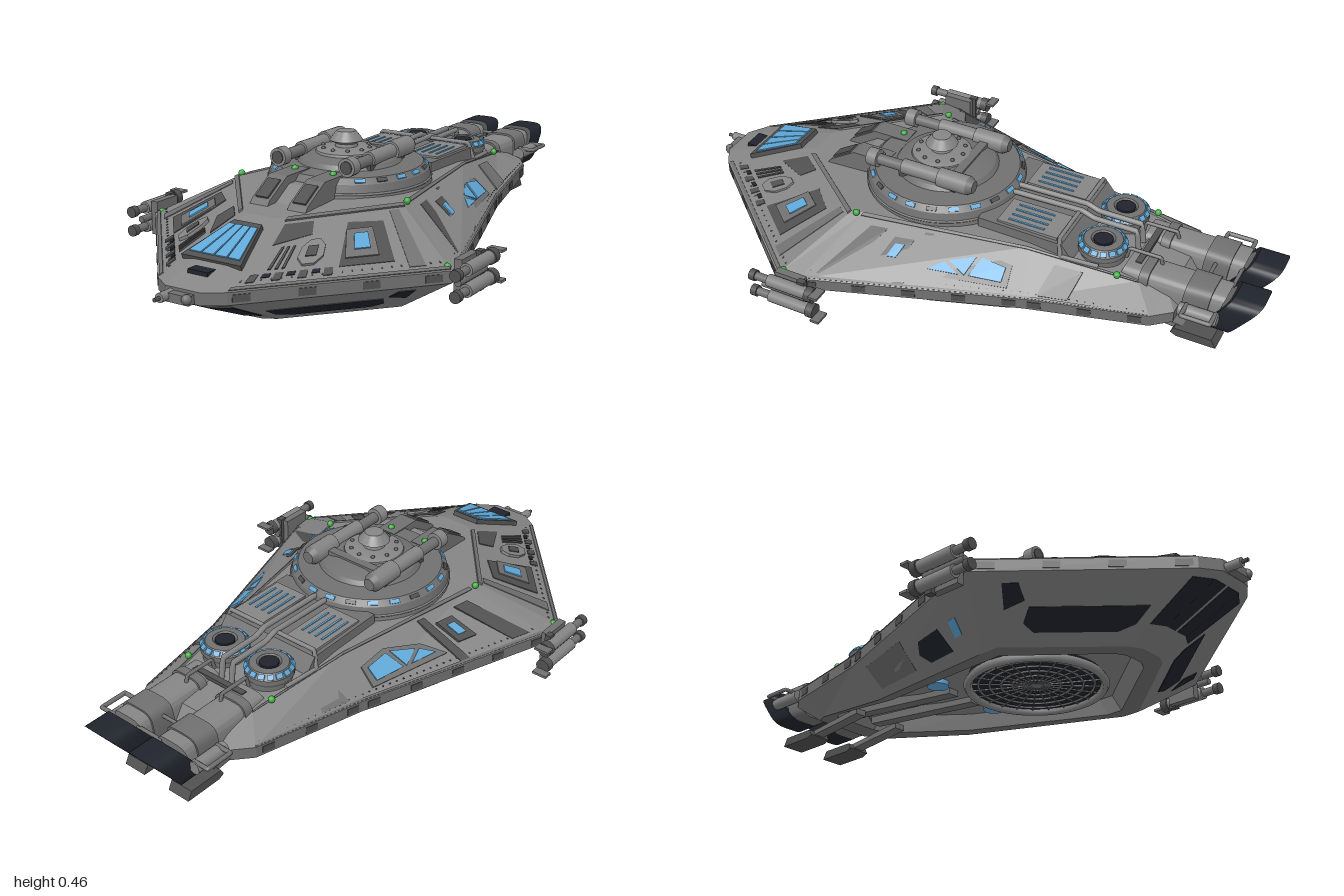
import * as THREE from 'three';
import { toCreasedNormals } from 'three/addons/utils/BufferGeometryUtils.js';

const V = (x, y, z) => new THREE.Vector3(x, y, z);
const paint = (color) => new THREE.MeshStandardMaterial({ color, side: THREE.DoubleSide });
const GREY = paint(0x858585), MID = paint(0x707070), DARK = paint(0x505050), BLACK = paint(0x20242c);
const BLUE = paint(0x5fa8d8), GREEN = paint(0x3fae3f);

// Geometry from a list of convex polygons, flat shaded
function polys(list) {
  const pos = [];
  for (const p of list)
    for (let i = 1; i < p.length - 1; i++) for (const v of [p[0], p[i], p[i + 1]]) pos.push(v.x, v.y, v.z);
  const g = new THREE.BufferGeometry();
  g.setAttribute('position', new THREE.Float32BufferAttribute(pos, 3));
  g.computeVertexNormals();
  return g;
}

// Mirror a geometry in x, keeping faces outward
function mirrored(geo) {
  const g = geo.index ? geo.toNonIndexed() : geo.clone();
  g.scale(-1, 1, 1);
  for (const key of ['position', 'normal']) {
    const a = g.attributes[key].array;
    for (let i = 0; i < a.length; i += 9)
      for (let k = 0; k < 3; k++) [a[i + k], a[i + 6 + k]] = [a[i + 6 + k], a[i + k]];
  }
  return g;
}

// Hull rings: half outlines from nose to stern as [x, y, z]
const ring = (pts) => pts.map((p) => V(...p));
const full = (h) => [...h, ...h.map((p) => V(-p.x, p.y, p.z)).reverse()];
const BOTTOM = ring([[.04, 0, .63], [.08, 0, .61], [.33, 0, .33], [.33, 0, .27], [.21, .055, -.3], [.14, .115, -.66], [.1, .13, -.72]]);
const RIM_LOW = ring([[.06, .135, .93], [.12, .135, .89], [.54, .135, .41], [.53, .135, .34], [.31, .145, -.32], [.225, .16, -.69], [.18, .165, -.75]]);
const RIM_TOP = RIM_LOW.map((p) => V(p.x, p.y + .037, p.z));
const DECK = ring([[.05, .288, .57], [.08, .288, .55], [.3, .3, .28], [.29, .3, .24], [.2, .29, -.28], [.15, .25, -.62], [.12, .24, -.7]]);
const LIP = BOTTOM.map((p) => V(p.x * .86, p.y, p.z * .9));
const RECESS = BOTTOM.map((p) => V(p.x * .8, p.y + .05, p.z * .84));

function loft(lower, upper) {
  const a = full(lower), b = full(upper);
  return polys(a.map((p, i) => { const j = (i + 1) % a.length; return [p, a[j], b[j], b[i]]; }));
}
function cap(h, down) {
  const m = h.map((p) => V(-p.x, p.y, p.z));
  return polys(h.slice(1).map((p, i) => { const q = [h[i], p, m[i + 1], m[i]]; return down ? q.reverse() : q; }));
}

// Raised plate on a polygon, pushed out along its normal
function slab(pts, h) {
  const n = V(0, 0, 0);
  for (let i = 1; i < pts.length - 1; i++)
    n.add(pts[i].clone().sub(pts[0]).cross(pts[i + 1].clone().sub(pts[0])));
  n.normalize();
  const top = pts.map((p) => p.clone().addScaledVector(n, h)), low = pts.map((p) => p.clone().addScaledVector(n, -.008));
  return polys([top, ...pts.map((p, i) => { const j = (i + 1) % pts.length; return [low[i], low[j], top[j], top[i]]; })]);
}
// Plate laid on hull face i between two rings, corners in (u, v)
const plate = (lower, upper, i, uv, h) => slab(uv.map(([u, v]) =>
  lower[i].clone().lerp(lower[i + 1], u).lerp(upper[i].clone().lerp(upper[i + 1], u), v)), h);
const rect = (u0, u1, v0, v1) => [[u0, v0], [u1, v0], [u1, v1], [u0, v1]];

const box = (w, h, d, x, y, z) => new THREE.BoxGeometry(w, h, d).translate(x, y, z);
const rod = (r0, r1, len, x, y, z, n = 16) => new THREE.CylinderGeometry(r0, r1, len, n).rotateX(Math.PI / 2).translate(x, y, z);
const ball = (r, x, y, z) => new THREE.SphereGeometry(r, 10, 8).translate(x, y, z);
const lathe = (pts, x, z, n = 40) =>
  toCreasedNormals(new THREE.LatheGeometry(pts.map((p) => new THREE.Vector2(...p)), n), .4).translate(x, 0, z);
const pipe = (pts, r = .007) => {
  const path = new THREE.CurvePath();
  for (let i = 1; i < pts.length; i++) path.add(new THREE.LineCurve3(V(...pts[i - 1]), V(...pts[i])));
  return new THREE.TubeGeometry(path, 40, r, 8);
};
// Side profile in (z, y), extruded from x0 to x1
const prism = (pts, x0, x1) => new THREE.ExtrudeGeometry(new THREE.Shape(pts.map((p) => new THREE.Vector2(...p))),
  { depth: x1 - x0, bevelEnabled: false }).rotateY(-Math.PI / 2).translate(x1, 0, 0);
// Rounded rectangle outline
const rounded = (w, h) => Array.from({ length: 32 }, (_, k) => {
  const c = Math.cos(k * Math.PI / 16), s = Math.sin(k * Math.PI / 16);
  return new THREE.Vector2(w * Math.sign(c) * Math.abs(c) ** .5, h * Math.sign(s) * Math.abs(s) ** .5);
});

export function createModel() {
  const root = new THREE.Group();
  const add = (name, geo, mat = GREY) => {
    const m = new THREE.Mesh(geo, mat);
    m.name = name;
    root.add(m);
  };
  const both = (name, geo, mat) => { add(name + 'Left', geo, mat); add(name + 'Right', mirrored(geo), mat); };

  // Hull shell
  add('upperHull', loft(RIM_TOP, DECK));
  add('deck', cap(DECK));
  add('rim', loft(RIM_LOW, RIM_TOP), MID);
  add('lowerHull', loft(BOTTOM, RIM_LOW));
  add('bottomFrame', loft(LIP, BOTTOM), MID);
  add('recessWall', loft(RECESS, LIP), GREY);
  add('recessRoof', cap(RECESS, true), GREY);

  // Rim patches, edge ridges and seam lines
  for (const i of [1, 3, 4]) {
    const n = [0, 7, 0, 9, 5][i];
    for (let k = 0; k < n; k += 2)
      both('rimPatch', plate(RIM_LOW, RIM_TOP, i, rect((k + .15) / n, (k + .7) / n, .2, .8), .002), DARK);
    both('deckRidge', plate(RIM_TOP, DECK, i, rect(0, 1, .95, 1), .006), MID);
    both('rimRidge', plate(RIM_TOP, DECK, i, rect(0, 1, .02, .06), .003), MID);
    for (let k = 0; k < n * 3; k++)
      both('rivet', plate(RIM_TOP, DECK, i, rect((k + .42) / n / 3, (k + .56) / n / 3, .12, .14), .002), DARK);
  }

  // Camouflage patches, hatches and windows of the upper hull
  const upper = (name, i, uv, h, mat) => both(name, plate(RIM_TOP, DECK, i, uv, h), mat);
  upper('darkPatch', 1, [[.48, .2], [.76, .2], [.78, .78], [.52, .82]], .002, DARK);
  upper('darkPatch', 1, [[.05, .6], [.28, .7], [.25, .9], [.02, .9]], .002, DARK);
  upper('darkPatch', 1, [[.82, .1], [.9, .1], [.94, .92], [.86, .92]], .002, MID);
  upper('windowFrame', 1, rect(.51, .69, .3, .7), .006, MID);
  upper('frontWindow', 1, rect(.56, .65, .4, .62), .01, BLUE);
  upper('hatch', 1, [[.25, .36], [.29, .26], [.35, .26], [.39, .36], [.39, .5], [.35, .6], [.29, .6], [.25, .5]], .009, GREY);
  upper('hatchCore', 1, rect(.29, .35, .36, .5), .012, DARK);
  for (const k of [0, 1, 2]) upper('vent', 1, rect(.12 + k * .035, .135 + k * .035, .25, .55), .005, DARK);
  for (let k = 0; k < 7; k++) upper('nosePanel', 1, rect(.05 + k * .06, .09 + k * .06, .1 + (k % 2) * .05, .2), .003, k % 2 ? BLACK : DARK);
  upper('darkPatch', 3, [[.05, .1], [.15, .1], [.2, .85], [.1, .85]], .002, DARK);
  upper('darkPatch', 3, rect(.41, .46, .05, .9), .002, DARK);
  upper('sideWindowFrame', 3, [[.48, .26], [.92, .17], [.93, .6], [.76, .74], [.56, .56]], .004, MID);
  upper('sideWindow', 3, [[.53, .34], [.68, .31], [.59, .49]], .009, BLUE);
  upper('sideWindow', 3, [[.71, .31], [.74, .65], [.61, .52]], .009, BLUE);
  upper('sideWindow', 3, [[.73, .31], [.89, .26], [.9, .54], [.77, .65]], .009, BLUE);
  upper('portFrame', 3, rect(.27, .38, .35, .75), .005, DARK);
  upper('portWindow', 3, rect(.3, .35, .45, .65), .009, BLUE);
  upper('darkPatch', 4, [[.1, .1], [.35, .1], [.5, .8], [.25, .8]], .002, MID);

  // Cockpit bay with four panes
  const pane = (t0, t1, s0, s1, h) => {
    const at = (t, s) => V(t * (.092 - .042 * s), .218 + .054 * s, .79 - .145 * s);
    return slab([at(t0, s0), at(t1, s0), at(t1, s1), at(t0, s1)], h);
  };
  add('cockpitFrame', pane(-1.08, 1.08, -.1, 1.1, .008), DARK);
  for (let k = 0; k < 4; k++) add('cockpitPane', pane(-.98 + k * .5, -.54 + k * .5, .03, .96, .012), BLUE);
  add('noseSensor', box(.07, .02, .04, 0, .195, .845), BLACK);

  // Openings of the lower hull
  const lower = (name, i, uv, mat) => both(name, plate(BOTTOM, RIM_LOW, i, uv, .002), mat);
  lower('frontOpening', 1, [[.08, .3], [.16, .2], [.72, .2], [.78, .32], [.74, .54], [.08, .54]], BLACK);
  lower('endOpening', 1, [[.76, .62], [.88, .5], [.86, .85], [.78, .85]], BLACK);
  lower('sideOpening', 3, [[.2, .2], [.4, .2], [.46, .4], [.42, .6], [.24, .6]], BLACK);
  lower('sideGlass', 3, rect(.08, .14, .35, .6), BLUE);
  lower('sidePanel', 3, rect(.55, .9, .2, .8), MID);
  lower('chinWindow', 0, rect(0, .95, .3, .9), BLACK);
  for (const s of [-1, 1]) {
    const at = (x, t) => V(s * x, .135 * t, .63 + .3 * t);
    const q = [at(.006, .3), at(.046, .3), at(.058, .9), at(.006, .9)];
    add('chinWindow', slab(s > 0 ? q : q.reverse(), .002), BLACK);
  }

  // Round grille and machinery in the belly recess
  add('grilleDisc', new THREE.CylinderGeometry(.21, .21, .03, 48).translate(0, .045, .19), BLACK);
  for (const [r, t] of [[.212, .014], [.18, .004], [.145, .004], [.11, .004], [.075, .004], [.04, .004]])
    add('grilleRing', new THREE.TorusGeometry(r, t, 6, 48).rotateX(Math.PI / 2).translate(0, .028, .19), r > .2 ? GREY : MID);
  for (let k = 0; k < 12; k++)
    add('grilleSpoke', box(.4, .004, .004, 0, 0, 0).rotateY(k * Math.PI / 12).translate(0, .028, .19), MID);
  both('bellyBeam', prism([[-.12, .07], [-.12, .1], [-.6, .15], [-.6, .125]], .03, .07), MID);
  both('bellyDisc', new THREE.CylinderGeometry(.035, .035, .03, 20).translate(.13, .085, -.11), BLUE);

  // Upper dome, turret and shoulder pods
  add('domeBase', lathe([[.262, .285], [.258, .305], [.25, .338], [.232, .355], [.165, .358], [.155, .372], [.11, .39], [0, .392]], 0, .1), MID);
  add('domeCollar', new THREE.TorusGeometry(.256, .004, 6, 48).rotateX(Math.PI / 2).translate(0, .31, .1), GREY);
  for (let k = 0; k < 18; k++) {
    const a = .7 + k * (2 * Math.PI - 1.4) / 17;
    add('domeWindow', box(.032, .006, .013, 0, 0, 0).rotateX(.76).translate(0, .3475, .241).rotateY(a).translate(0, 0, .1), k % 3 === 1 ? DARK : BLUE);
  }
  add('turret', lathe([[.1, .38], [.095, .395], [.08, .402], [.036, .404], [.034, .414], [.052, .424], [.046, .433], [.03, .453], [0, .455]], 0, .12, 32));
  for (let k = 0; k < 10; k++)
    add('turretBolt', ball(.007, Math.sin(k * Math.PI / 5) * .075, .402, .12 + Math.cos(k * Math.PI / 5) * .075), DARK);
  both('podTank', rod(.031, .031, .1, .125, .39, .01));
  both('podNeck', rod(.024, .024, .13, .125, .39, .125), GREY);
  both('podTail', rod(.031, .02, .02, .125, .39, -.05), MID);
  both('podBarrel', rod(.018, .018, .1, .125, .388, .24), MID);
  both('podMuzzle', rod(.029, .029, .035, .125, .39, .295));
  both('podBore', rod(.02, .02, .004, .125, .39, .314), DARK);
  both('podSaddle', box(.03, .03, .2, .125, .365, .1), DARK);
  add('podBridge', box(.25, .014, .03, 0, .39, .02), MID);

  // Front deck block
  both('frontBlock', prism([[.27, .28], [.5, .28], [.48, .305], [.39, .36], [.27, .36]], .035, .1), MID);
  both('frontBlockPlate', slab([V(.045, .31, .475), V(.09, .31, .475), V(.09, .35, .409), V(.045, .35, .409)], .004), DARK);
  add('frontSpine', prism([[.27, .28], [.47, .28], [.38, .335], [.27, .335]], -.035, .035));

  // Radiator deck and pipework
  add('radiatorDeck', prism([[-.1, .28], [-.1, .325], [-.38, .32], [-.42, .27]], -.18, .18), MID);
  both('radiatorPanel', box(.12, .01, .2, .108, .325, -.26), GREY);
  for (let k = 0; k < 4; k++) both('radiatorSlat', box(.006, .006, .12, .07 + k * .026, .33, -.25), BLUE);
  both('spinePipe', pipe([[.02, .3, -.12], [.02, .335, -.14], [.02, .34, -.38], [.02, .325, -.42], [.02, .325, -.56], [.02, .26, -.57]], .009));
  both('crossPipe', pipe([[.02, .335, -.37], [.17, .335, -.37], [.185, .28, -.38], [.17, .275, -.5]]));
  both('rearPipe', pipe([[.07, .26, -.55], [.07, .295, -.56], [.07, .295, -.66], [.07, .26, -.67]], .006), MID);

  // Twin fans
  both('fanHousing', lathe([[.07, .25], [.07, .275], [.076, .285], [.076, .3], [.06, .318], [.038, .32], [.032, .31], [0, .31]], .09, -.48, 28), MID);
  for (let k = 0; k < 16; k++)
    both('fanGlass', box(.02, .006, .016, 0, 0, 0).rotateX(.85).translate(0, .31, .069).rotateY(k * Math.PI / 8).translate(.09, 0, -.48), BLUE);
  both('fanHub', new THREE.CylinderGeometry(.03, .03, .01, 16).translate(.09, .314, -.48), BLACK);

  // Engines: rounded bodies and slanted nozzles
  const duct = (w, h, z0, z1, slant, hole) => {
    const s = new THREE.Shape(rounded(w, h));
    if (hole) s.holes.push(new THREE.Path(rounded(w - hole, h - hole).reverse()));
    const g = new THREE.ExtrudeGeometry(s, { depth: z0 - z1, bevelEnabled: false }).translate(.09, .215, z1);
    const p = g.attributes.position;
    for (let i = 0; i < p.count; i++) p.setZ(i, p.getZ(i) - (p.getY(i) - .215) * slant);
    return toCreasedNormals(g, .7);
  };
  both('engineBody', duct(.056, .06, -.55, -.87, .3));
  both('engineCollar', duct(.062, .066, -.62, -.65, 0), MID);
  both('engineCollar', duct(.062, .066, -.76, -.84, .1), MID);
  both('nozzle', duct(.066, .066, -.86, -.95, .75, .016), BLACK);
  both('nozzleCore', duct(.05, .05, -.86, -.925, .75), MID);
  for (const r of [.015, .03])
    both('nozzleRing', new THREE.TorusGeometry(r, .004, 6, 20).rotateX(-.64).translate(.09, .215, -.927), DARK);
  add('engineTie', box(.2, .012, .02, 0, .272, -.6), DARK);
  add('sternPlate', prism([[-.58, .2], [-.58, .262], [-.72, .245], [-.75, .2]], -.05, .05));
  for (const z of [-.8, -.88]) add('engineTie', pipe([[-.05, .25, z], [.05, .25, z]], .006), MID);
  both('engineTank', rod(.02, .02, .12, .17, .215, -.82));
  both('engineHandle', pipe([[.16, .23, -.78], [.215, .23, -.78], [.215, .23, -.87], [.16, .23, -.87]]), MID);
  both('lowerPad', prism([[-.73, .075], [-.74, .094], [-.86, .094], [-.875, .066], [-.75, .066]], .05, .13), DARK);
  both('padStrut', prism([[-.52, .1], [-.52, .12], [-.76, .094], [-.76, .078]], .07, .11), MID);

  // Wing guns
  both('gunMount', box(.025, .11, .1, .553, .15, .35), MID);
  for (const y of [.12, .182]) {
    both('gunBody', rod(.02, .02, .14, .585, y, .34));
    both('gunBarrel', rod(.013, .013, .08, .585, y, .43), MID);
    both('gunMuzzle', rod(.018, .018, .02, .585, y, .465), DARK);
    both('gunTail', rod(.024, .024, .025, .585, y, .26), DARK);
    both('gunFin', box(.05, .008, .03, .59, y + (y > .15 ? .015 : -.015), .235), MID);
  }
  both('gunFeed', rod(.011, .011, .16, .575, .151, .36), MID);
  both('gunClamp', box(.02, .12, .025, .57, .15, .3), DARK);

  // Nose gun
  add('noseMount', box(.08, .026, .03, 0, .15, .94), MID);
  add('noseGun', rod(.014, .014, .05, -.04, .153, .955), GREY);
  add('noseBarrel', rod(.006, .006, .04, -.04, .153, .98), DARK);
  add('noseLamp', ball(.015, .03, .153, .95), MID);

  // Marker lights
  for (const p of [[.305, .304, .26], [.52, .178, .4], [.17, .265, -.56], [.07, .36, .3]]) both('markerLight', ball(.011, ...p), GREEN);
  return root;
}
